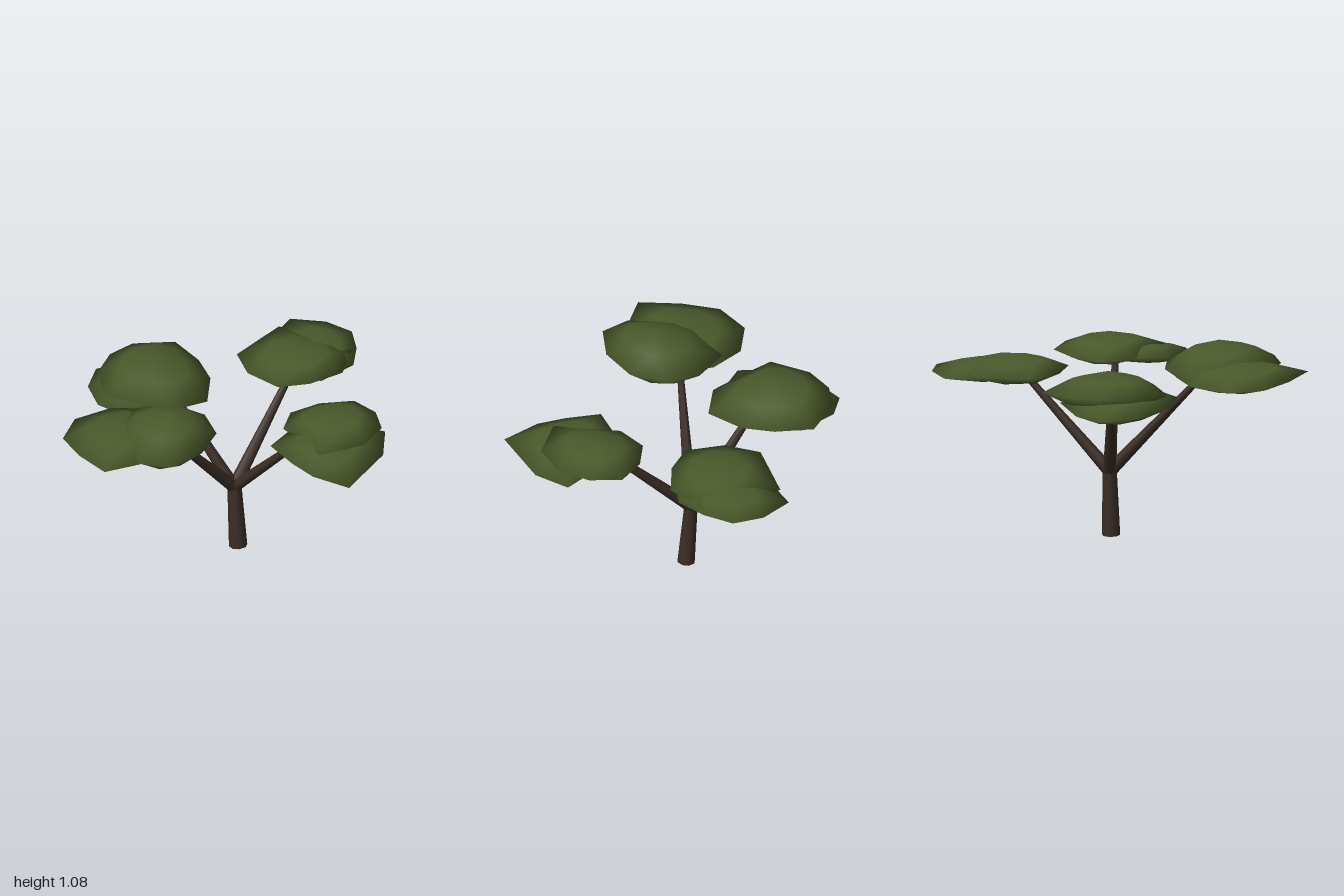
import * as THREE from 'three';

const bark = new THREE.MeshStandardMaterial({ color: 0x3b2d26 });
const leaf = new THREE.MeshStandardMaterial({ color: 0x4a5a2b });

// Tapered limb between two points
function limb(name, from, to, r0, r1, sides) {
  const a = new THREE.Vector3(...from), b = new THREE.Vector3(...to);
  const dir = b.clone().sub(a);
  const mesh = new THREE.Mesh(new THREE.CylinderGeometry(r1, r0, dir.length(), sides), bark);
  mesh.position.copy(a).add(b).multiplyScalar(0.5);
  mesh.quaternion.setFromUnitVectors(new THREE.Vector3(0, 1, 0), dir.normalize());
  mesh.name = name;
  return mesh;
}

// Flattened leaf clump: a rim outline [x, z] with a shoulder ring above and below,
// closed by an apex and a base point; tilt is the slope of the rim along x
function clump(name, outline, bottom, rim, top, tilt = 0) {
  const n = outline.length;
  const cx = outline.reduce((s, p) => s + p[0], 0) / n;
  const cz = outline.reduce((s, p) => s + p[1], 0) / n;
  const pts = outline.map(([x, z]) => [x - cx, z - cz])
    .sort((p, q) => Math.atan2(p[1], p[0]) - Math.atan2(q[1], q[0]));
  const pos = [cx, top, cz];
  // rings: scale, height, half-step twist that staggers the facets
  const rings = [
    [0.62, rim + (top - rim) * 0.62, 0.5],
    [1, rim, 0],
    [0.65, rim + (bottom - rim) * 0.68, 0.5],
  ];
  for (const [s, y, twist] of rings) {
    for (let i = 0; i < n; i++) {
      const p = pts[i], q = pts[(i + 1) % n];
      const x = (p[0] + (q[0] - p[0]) * twist) * s;
      const z = (p[1] + (q[1] - p[1]) * twist) * s;
      pos.push(cx + x, y + x * tilt, cz + z);
    }
  }
  pos.push(cx, bottom, cz);
  const at = (ring, i) => 1 + ring * n + ((i + n) % n);
  const last = 1 + 3 * n;
  const idx = [];
  for (let i = 0; i < n; i++) {
    idx.push(0, at(0, i + 1), at(0, i));
    idx.push(at(0, i), at(1, i + 1), at(1, i), at(0, i), at(0, i + 1), at(1, i + 1));
    idx.push(at(1, i), at(1, i + 1), at(2, i), at(1, i + 1), at(2, i + 1), at(2, i));
    idx.push(last, at(2, i), at(2, i + 1));
  }
  const geo = new THREE.BufferGeometry();
  geo.setAttribute('position', new THREE.Float32BufferAttribute(pos, 3));
  geo.setIndex(idx);
  geo.computeVertexNormals();
  const mesh = new THREE.Mesh(geo, leaf);
  mesh.name = name;
  return mesh;
}

export function createModel() {
  const tree = new THREE.Group();
  tree.name = 'tree';

  // Trunk and the four spreading branches
  tree.add(limb('trunk', [-0.022, 0.002, -0.063], [-0.05, 0.38, -0.066], 0.049, 0.037, 8));
  const fork = [-0.05, 0.35, -0.066];
  const tips = {
    leftBranch: [0.47, 0.87, -0.11],
    rightBranch: [-0.43, 0.86, 0.0],
    frontBranch: [-0.15, 0.88, 0.42],
    backBranch: [-0.01, 0.86, -0.53],
  };
  for (const [name, tip] of Object.entries(tips)) tree.add(limb(name, fork, tip, 0.036, 0.017, 6));

  // Front canopy
  tree.add(clump('frontCanopyUpper', [[-0.2, 0.25], [-0.02, 0.235], [0.15, 0.36], [0.21, 0.57],
    [0.16, 0.78], [0, 0.84], [-0.33, 0.7], [-0.38, 0.4]], 0.82, 0.95, 1.08, 0.04));
  tree.add(clump('frontCanopyLower', [[-0.49, 0.43], [-0.58, 0.63], [-0.51, 0.83], [-0.33, 0.93],
    [-0.11, 1.0], [0.02, 0.8], [0.05, 0.55], [-0.1, 0.36], [-0.3, 0.32]], 0.87, 0.93, 1.0, 0.05));

  // Back canopy
  tree.add(clump('backCanopyUpper', [[-0.3, -0.8], [-0.05, -0.83], [0.15, -0.84], [0.25, -0.62],
    [0.18, -0.43], [0.06, -0.3], [-0.15, -0.32], [-0.31, -0.44]], 0.81, 0.89, 0.96));
  tree.add(clump('backCanopyLower', [[-0.31, -0.91], [-0.14, -1], [0.03, -1], [0.15, -0.88],
    [0.24, -0.73], [0.2, -0.5], [0, -0.42], [-0.24, -0.5]], 0.82, 0.88, 0.93));

  // Canopy on the +x side
  tree.add(clump('leftCanopyUpper', [[0.46, -0.44], [0.63, -0.4], [0.76, -0.28], [0.79, -0.08],
    [0.65, 0.13], [0.5, 0.07], [0.32, 0], [0.25, -0.16], [0.32, -0.32]], 0.82, 0.885, 0.96, 0.06));
  tree.add(clump('leftCanopyLower', [[0.73, -0.35], [0.85, -0.17], [0.9, 0.2], [0.7, 0.25],
    [0.55, 0.23], [0.37, 0.18], [0.36, 0], [0.5, -0.25]], 0.79, 0.845, 0.91, -0.11));

  // Canopy on the -x side
  tree.add(clump('rightCanopyUpper', [[-0.64, -0.34], [-0.44, -0.28], [-0.29, -0.18], [-0.17, 0.01],
    [-0.26, 0.2], [-0.45, 0.27], [-0.62, 0.32], [-0.78, 0.15], [-0.83, -0.02], [-0.8, -0.18]],
  0.79, 0.89, 1.0, -0.06));
  tree.add(clump('rightCanopyLower', [[-0.9, 0.01], [-0.82, -0.13], [-0.6, -0.25], [-0.35, -0.1],
    [-0.27, 0.15], [-0.45, 0.36], [-0.65, 0.33], [-0.82, 0.19]], 0.76, 0.835, 0.92, 0.1));

  return tree;
}
